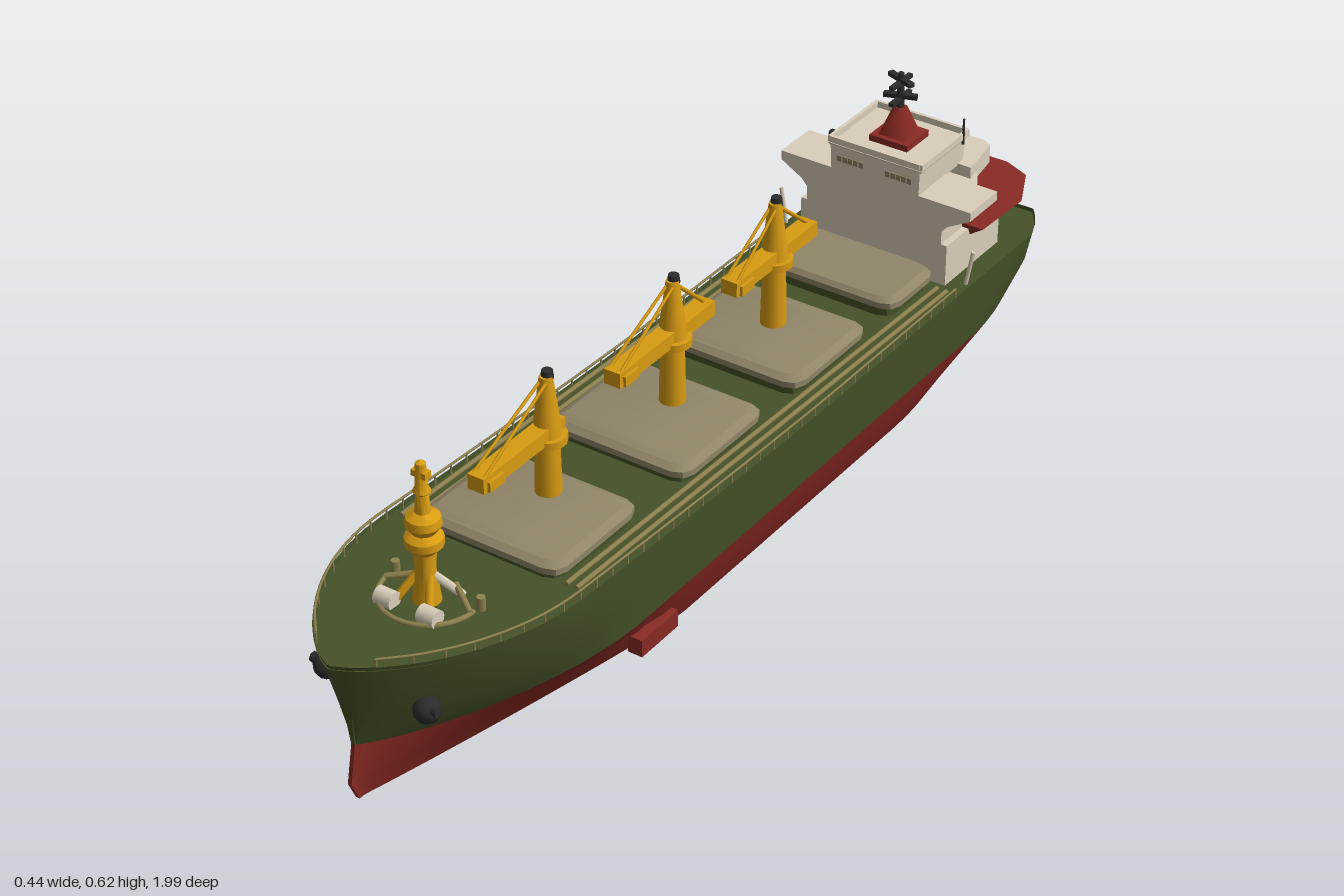
import * as THREE from 'three';
import { toCreasedNormals } from 'three/addons/utils/BufferGeometryUtils.js';

const mat = (name, color, side = THREE.FrontSide) => {
  const m = new THREE.MeshStandardMaterial({ color, side });
  m.name = name;
  return m;
};

// height of the deck edge along the ship
const sheer = z => 0.255 + 0.055 * Math.max(0, (z + 0.2) / 1.2) ** 1.5;

// hull levels: height, half width, stern z, bow z, bow taper (start, p, q), stern taper (start, factor)
const LEVELS = [
  [0, 0.155, -0.80, 0.95, 0.25, 1.1, 0.95, -0.5, 0.6],
  [0.04, 0.175, -0.86, 0.968, 0.3, 1.2, 0.92, -0.5, 0.65],
  [0.115, 0.199, -0.955, 0.953, 0.42, 1.7, 0.85, -0.7, 0.72],
  [0.19, 0.207, -0.982, 0.965, 0.55, 2, 0.75, -0.85, 0.74],
  [null, 0.212, -0.99, 1.0, 0.6, 2, 0.73, -0.88, 0.78],
];

function halfWidth([, w, zs, zb, start, p, q, sStart, sf], z) {
  const s = Math.min(1, Math.max(0, (z - start) / (zb - start)));
  const a = Math.max(0, (sStart - z) / (sStart - zs));
  return Math.max(0.004, w * (1 - s ** p) ** q * (1 - (1 - sf) * a ** 2));
}

// closed ring: +x side from stern to bow, then back along -x
function hullRing(level, drop = 0, scale = 1) {
  const N = 40, side = [];
  for (let k = 0; k <= N; k++) {
    const u = 0.5 - 0.5 * Math.cos(Math.PI * k / N);
    const z = THREE.MathUtils.lerp(level[2], level[3], u);
    side.push([halfWidth(level, z) * scale, (level[0] ?? sheer(z)) - drop, z]);
  }
  return mirrorRing(side);
}
const mirrorRing = side => [...side, ...[...side].reverse().map(([x, y, z]) => [-x, y, z])];

// skin between rings, with optional flat caps
function loft(rings, { top = false, bottom = false } = {}, crease = 0.6) {
  const n = rings[0].length, pos = [], idx = [];
  rings.forEach(r => r.forEach(p => pos.push(...p)));
  for (let j = 0; j < rings.length - 1; j++)
    for (let i = 0; i < n; i++) {
      const a = j * n + i, b = j * n + (i + 1) % n;
      idx.push(a, a + n, b, b, a + n, b + n);
    }
  const cap = (o, up) => {
    for (let i = 0; i < n / 2 - 1; i++) {
      const r = o + i, r2 = r + 1, l = o + n - 1 - i, l2 = l - 1;
      if (up) idx.push(l, l2, r, r, l2, r2);
      else idx.push(l, r, l2, r, r2, l2);
    }
  };
  if (top) cap((rings.length - 1) * n, true);
  if (bottom) cap(0, false);
  const g = new THREE.BufferGeometry();
  g.setAttribute('position', new THREE.Float32BufferAttribute(pos, 3));
  g.setIndex(idx);
  return toCreasedNormals(g, crease);
}

// upright prism from a half plan [x, z] listed from stern to bow; the top may flare
function prism(half, y0, y1, flare = 1, zc = -0.8) {
  const ring = (y, s) => mirrorRing(half.map(([x, z]) => [x * s, y, zc + (z - zc) * s]));
  return loft([ring(y0, 1), ring(y1, flare)], { top: true, bottom: true }, 0.5);
}

export function createModel() {
  const ship = new THREE.Group();
  ship.name = 'cargoShip';
  const green = mat('hull green', 0x445228, THREE.DoubleSide);
  const red = mat('antifouling red', 0x8a2a24);
  const tan = mat('hatch tan', 0x918669);
  const white = mat('house cream', 0xdbcfba);
  const yellow = mat('crane yellow', 0xd99c12);
  const black = mat('dark metal', 0x2b2d2c);
  const ochre = mat('rail ochre', 0x8f8350);

  const add = (name, geo, m, x = 0, y = 0, z = 0, parent = ship) => {
    const mesh = new THREE.Mesh(geo, m);
    mesh.name = name;
    mesh.position.set(x, y, z);
    parent.add(mesh);
    return mesh;
  };
  const box = (name, m, w, h, d, x, y, z, parent) => add(name, new THREE.BoxGeometry(w, h, d), m, x, y, z, parent);
  const post = (name, m, r0, r1, y0, y1, x, z, parent, n = 14) =>
    add(name, new THREE.CylinderGeometry(r1, r0, y1 - y0, n), m, x, (y0 + y1) / 2, z, parent);
  const rod = (name, m, a, b, r, parent) => {
    const va = new THREE.Vector3(...a), vb = new THREE.Vector3(...b);
    const d = vb.clone().sub(va);
    const mesh = add(name, new THREE.CylinderGeometry(r, r, d.length(), 6), m, 0, 0, 0, parent);
    mesh.position.copy(va.add(vb).multiplyScalar(0.5));
    mesh.quaternion.setFromUnitVectors(new THREE.Vector3(0, 1, 0), d.normalize());
    return mesh;
  };

  // hull, deck and bulwark
  const rings = LEVELS.map(l => hullRing(l));
  add('lowerHull', loft(rings.slice(0, 3), { bottom: true }), red);
  add('upperHull', loft(rings.slice(2)), green);
  add('deck', loft([hullRing(LEVELS[4], 0.008, 0.99)], { top: true }), green);

  // deck edge rails
  const top = LEVELS[4];
  for (const s of [-1, 1]) {
    const pts = [];
    for (let z = -0.62; z < 1; z += 0.045) {
      const x = s * (halfWidth(top, z) - 0.006), y = sheer(z);
      pts.push(new THREE.Vector3(x, y + 0.014, z));
      post('railPost', ochre, 0.002, 0.002, y - 0.01, y + 0.014, x, z, ship, 5);
    }
    add('rail', new THREE.TubeGeometry(new THREE.CatmullRomCurve3(pts), 70, 0.0025, 5), ochre);
    for (const x of [0.165, 0.186])
      rod('deckPipe', ochre, [s * x, sheer(-0.62) + 0.002, -0.62], [s * x, sheer(0.58) + 0.002, 0.58], 0.005);
    // gangway, bilge box and anchor
    rod('gangway', white, [s * 0.205, 0.26, -0.66], [s * 0.218, 0.335, -0.66], 0.004);
    box('bilgeBox', red, 0.03, 0.035, 0.11, s * 0.18, 0.05, 0.35);
    const anchor = new THREE.Group();
    anchor.name = 'anchor';
    anchor.position.set(s * 0.105, 0.192, 0.885);
    ship.add(anchor);
    add('anchorBody', new THREE.SphereGeometry(0.025, 12, 8), black, 0, 0, 0, anchor);
    rod('anchorArm', black, [-0.027, 0.008, 0.005], [0.027, 0.008, 0.005], 0.01, anchor);
  }

  // cargo hatches: coaming and cover with cut corners
  for (const [z0, z1] of [[0.34, 0.585], [-0.05, 0.21], [-0.4, -0.15], [-0.645, -0.48]]) {
    const c = 0.03, zc = (z0 + z1) / 2, y = sheer(zc);
    const plan = [[0.12, z0], [0.141, z0 + 0.009], [0.15, z0 + c], [0.15, z1 - c], [0.141, z1 - 0.009], [0.12, z1]];
    add('hatchCoaming', prism(plan.map(([x, z]) => [x * 0.93, zc + (z - zc) * 0.93]), y - 0.03, y + 0.016, 1, zc), green);
    add('hatchCover', prism(plan, y + 0.012, y + 0.024, 1, zc), tan);
    add('hatchCrown', prism(plan, y + 0.024, y + 0.033, 0.9, zc), tan);
  }

  // deck cranes: mast position, boom front and back reach
  for (const [z, front, back] of [[0.405, 0.2, -0.03], [0.03, 0.185, -0.11], [-0.3, 0.15, -0.12]]) {
    const crane = new THREE.Group();
    crane.name = 'crane';
    crane.position.z = z;
    ship.add(crane);
    post('craneMast', yellow, 0.026, 0.022, 0.25, 0.42, 0, 0, crane);
    post('craneHead', yellow, 0.028, 0.012, 0.42, 0.545, 0, 0, crane);
    post('craneCap', black, 0.012, 0.01, 0.54, 0.555, 0, -0.004, crane);
    post('craneCollar', yellow, 0.036, 0.036, 0.415, 0.43, 0, 0, crane);
    box('craneBoom', yellow, 0.034, 0.03, front - back, 0, 0.437, (front + back) / 2, crane);
    box('boomTip', yellow, 0.046, 0.02, 0.04, 0, 0.432, front - 0.03, crane);
    for (const s of [-1, 1]) rod('craneCable', yellow, [s * 0.006, 0.54, 0], [s * 0.012, 0.45, front - 0.01], 0.003, crane);
    rod('backStay', yellow, [0, 0.54, 0], [0, 0.45, back + 0.01], 0.004, crane);
  }

  // foremast with splayed legs, and the mooring gear around it
  const mast = new THREE.Group();
  mast.name = 'foremast';
  mast.position.z = 0.745;
  ship.add(mast);
  const profile = [[0.026, 0.28], [0.018, 0.35], [0.02, 0.385], [0.034, 0.4], [0.034, 0.415], [0.022, 0.425],
    [0.032, 0.44], [0.03, 0.455], [0.014, 0.465], [0.011, 0.5], [0.016, 0.505], [0.011, 0.515], [0.009, 0.56], [0, 0.565]];
  add('mastColumn', toCreasedNormals(new THREE.LatheGeometry(profile.map(p => new THREE.Vector2(...p)), 14), 0.6), yellow, 0, 0, 0, mast);
  box('mastCrossarm', yellow, 0.03, 0.012, 0.016, 0, 0.54, 0, mast);
  for (const s of [-1, 1]) {
    for (const d of [-1, 1]) rod('mastLeg', d > 0 ? yellow : white, [s * 0.04, 0.285, d * 0.045], [s * 0.01, 0.345, 0], 0.008, mast);
    const drum = add('winchDrum', new THREE.CylinderGeometry(0.017, 0.017, 0.035, 12), white, s * 0.045, 0.3, 0.05, mast);
    drum.rotation.z = Math.PI / 2;
    post('bollard', ochre, 0.008, 0.008, 0.28, 0.31, s * 0.09, -0.03, mast, 8);
    rod('derrick', ochre, [s * 0.03, 0.305, -0.04], [s * 0.09, 0.295, 0], 0.006, mast);
  }
  const guard = add('breakwater', new THREE.TorusGeometry(0.09, 0.005, 6, 24, Math.PI), ochre, 0, 0.292, -0.01, mast);
  guard.rotation.x = Math.PI / 2;

  // accommodation block
  add('lowerHouse', prism([[0.09, -0.92], [0.14, -0.895], [0.165, -0.85], [0.165, -0.65]], 0.23, 0.335), white);
  add('boatDeck', prism([[0.085, -0.945], [0.13, -0.925], [0.165, -0.85], [0.16, -0.74]], 0.315, 0.347, 1.25), red);
  add('middleHouse', prism([[0.08, -0.87], [0.13, -0.82], [0.152, -0.78], [0.152, -0.65]], 0.33, 0.4), white);
  add('aftPlatform', prism([[0.09, -0.91], [0.11, -0.9], [0.125, -0.8]], 0.385, 0.424), white);
  const wing = new THREE.Shape([[-0.14, 0.35], [0.14, 0.35], [0.165, 0.378], [0.213, 0.405], [0.213, 0.424],
    [-0.213, 0.424], [-0.213, 0.405], [-0.165, 0.378]].map(p => new THREE.Vector2(...p)));
  add('bridgeWings', new THREE.ExtrudeGeometry(wing, { depth: 0.1, bevelEnabled: false }), white, 0, 0, -0.75);
  add('wheelhouse', prism([[0.095, -0.82], [0.098, -0.65]], 0.42, 0.475, 1.02, -0.74), white);
  add('wheelhouseRoof', prism([[0.1, -0.82], [0.1, -0.65]], 0.472, 0.48, 1.06, -0.735), white);
  for (const s of [-1, 1]) {
    box('roofParapet', white, 0.007, 0.014, 0.175, s * 0.102, 0.486, -0.735);
    box('roofParapet', white, 0.2, 0.014, 0.007, 0, 0.486, -0.735 + s * 0.085);
    for (let i = 0; i < 5; i++) box('bridgeWindow', tan, 0.01, 0.012, 0.004, s * (0.03 + i * 0.012), 0.451, -0.648);
  }

  // signal mast and aerials
  box('mastBase', red, 0.085, 0.014, 0.08, 0, 0.486, -0.735);
  const tower = post('signalTower', red, 0.042, 0.014, 0.49, 0.55, 0, -0.735, ship, 4);
  tower.rotation.y = Math.PI / 4;
  post('signalPole', black, 0.009, 0.006, 0.545, 0.622, 0, -0.735, ship, 8);
  for (const [y, a] of [[0.573, 0.35], [0.608, -0.35]]) {
    box('radarBar', black, 0.066, 0.009, 0.012, 0, y, -0.735).rotation.y = a;
    box('radarYard', black, 0.01, 0.008, 0.07, 0, y - 0.006, -0.735);
  }
  post('whipAerial', black, 0.003, 0.002, 0.47, 0.525, 0.105, -0.8, ship, 6);
  post('searchlightPost', black, 0.003, 0.003, 0.42, 0.45, -0.14, -0.72, ship, 6);
  add('searchlight', new THREE.SphereGeometry(0.009, 8, 6), black, -0.14, 0.453, -0.72);

  // rudder and propeller
  box('rudder', red, 0.016, 0.08, 0.06, 0, 0.042, -0.905);
  post('rudderStock', red, 0.008, 0.008, 0.07, 0.13, 0, -0.9);
  const hub = add('propellerHub', new THREE.CylinderGeometry(0.009, 0.009, 0.05, 10), red, 0, 0.04, -0.855);
  hub.rotation.x = Math.PI / 2;
  for (let i = 0; i < 4; i++) {
    const a = i * Math.PI / 2 + 0.6;
    const blade = box('propellerBlade', red, 0.016, 0.03, 0.004, Math.sin(a) * 0.018, 0.04 + Math.cos(a) * 0.018, -0.868);
    blade.rotation.z = -a;
  }
  return ship;
}
